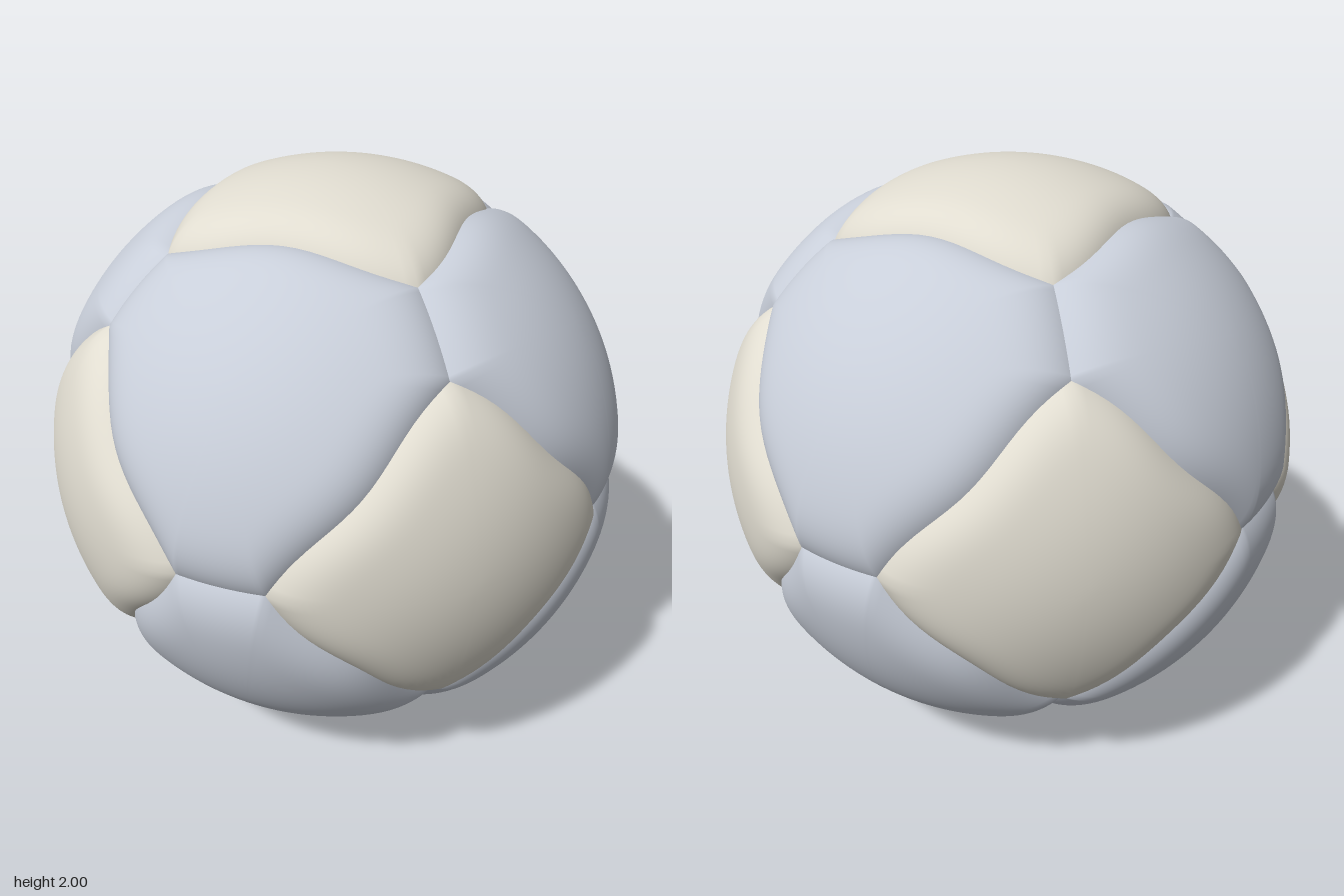
import * as THREE from 'three';

const INNER = 0.57, OUTER = 0.775;            // coordinates of every seam corner: (0, INNER, OUTER) permuted
const SEAM_R = Math.hypot(INNER, OUTER);      // seams lie a little below the ball's radius of 1
const EDGE_STEPS = 20, RINGS = 24;

// The 24 corners where three panels meet
function seamCorners() {
  const list = [];
  for (let zero = 0; zero < 3; zero++)
    for (const [p, q] of [[INNER, OUTER], [OUTER, INNER]])
      for (const s of [-1, 1]) for (const t of [-1, 1]) {
        const c = [0, 0, 0];
        c[(zero + 1) % 3] = s * p;
        c[(zero + 2) % 3] = t * q;
        list.push(new THREE.Vector3(...c));
      }
  return list;
}

// Unit direction along the seam from a to b; seams around square panels are slightly wavy
function seamPoint(a, b, t) {
  const angle = a.angleTo(b);
  const p = a.clone().multiplyScalar(Math.sin((1 - t) * angle))
    .addScaledVector(b, Math.sin(t * angle)).normalize();
  for (const k of ['x', 'y', 'z'])
    if (Math.abs(a[k]) > 0.7 && Math.abs(b[k]) > 0.7) p[k] *= 1 - 0.03 * Math.sin(3 * Math.PI * t);
  return p.normalize();
}

// Puffed panel: rings run from the centre to the seam and drop off close to it
function panelGeometry(center, corners) {
  const u = corners[0].clone().cross(center).normalize();
  const v = center.clone().cross(u);
  const angleOf = c => Math.atan2(c.dot(v), c.dot(u));
  corners.sort((a, b) => angleOf(a) - angleOf(b));
  const border = corners.flatMap((a, i) => Array.from({ length: EDGE_STEPS },
    (_, j) => seamPoint(a, corners[(i + 1) % corners.length], j / EDGE_STEPS)));
  const n = border.length, positions = [center.x, center.y, center.z], index = [];
  for (let r = 1; r <= RINGS; r++) {
    const s = Math.sin(r / RINGS * Math.PI / 2);
    const rise = 1 - Math.pow(1 - Math.min(1, (1 - s) / 0.38), 3);
    const radius = SEAM_R + (1 - SEAM_R) * rise;
    border.forEach((b, i) => {
      const p = center.clone().lerp(b, s).setLength(radius);
      positions.push(p.x, p.y, p.z);
      const j = (i + 1) % n, o = 1 + (r - 1) * n;
      if (r === 1) index.push(0, o + i, o + j);
      else index.push(o - n + i, o + i, o + j, o - n + i, o + j, o - n + j);
    });
  }
  const g = new THREE.BufferGeometry();
  g.setAttribute('position', new THREE.Float32BufferAttribute(positions, 3));
  g.setIndex(index);
  g.computeVertexNormals();
  return g;
}

export function createModel() {
  const ball = new THREE.Group();
  ball.name = 'ball';
  const all = seamCorners();
  const cream = new THREE.MeshStandardMaterial({ color: 0xe0dcd0 });
  const blueGrey = new THREE.MeshStandardMaterial({ color: 0xc8ced9 });
  const addPanel = (name, center, corners, material) => {
    const mesh = new THREE.Mesh(panelGeometry(center, corners), material);
    mesh.name = name;
    mesh.position.y = 1;
    ball.add(mesh);
  };

  // Six square panels on the axes
  for (const k of ['x', 'y', 'z']) for (const s of [-1, 1]) {
    const center = new THREE.Vector3();
    center[k] = s;
    addPanel('squarePanel', center, all.filter(c => c[k] * s > 0.7), cream);
  }
  // Eight six-sided panels between them
  for (const x of [-1, 1]) for (const y of [-1, 1]) for (const z of [-1, 1])
    addPanel('hexagonPanel', new THREE.Vector3(x, y, z).normalize(),
      all.filter(c => c.x * x >= 0 && c.y * y >= 0 && c.z * z >= 0), blueGrey);
  return ball;
}
